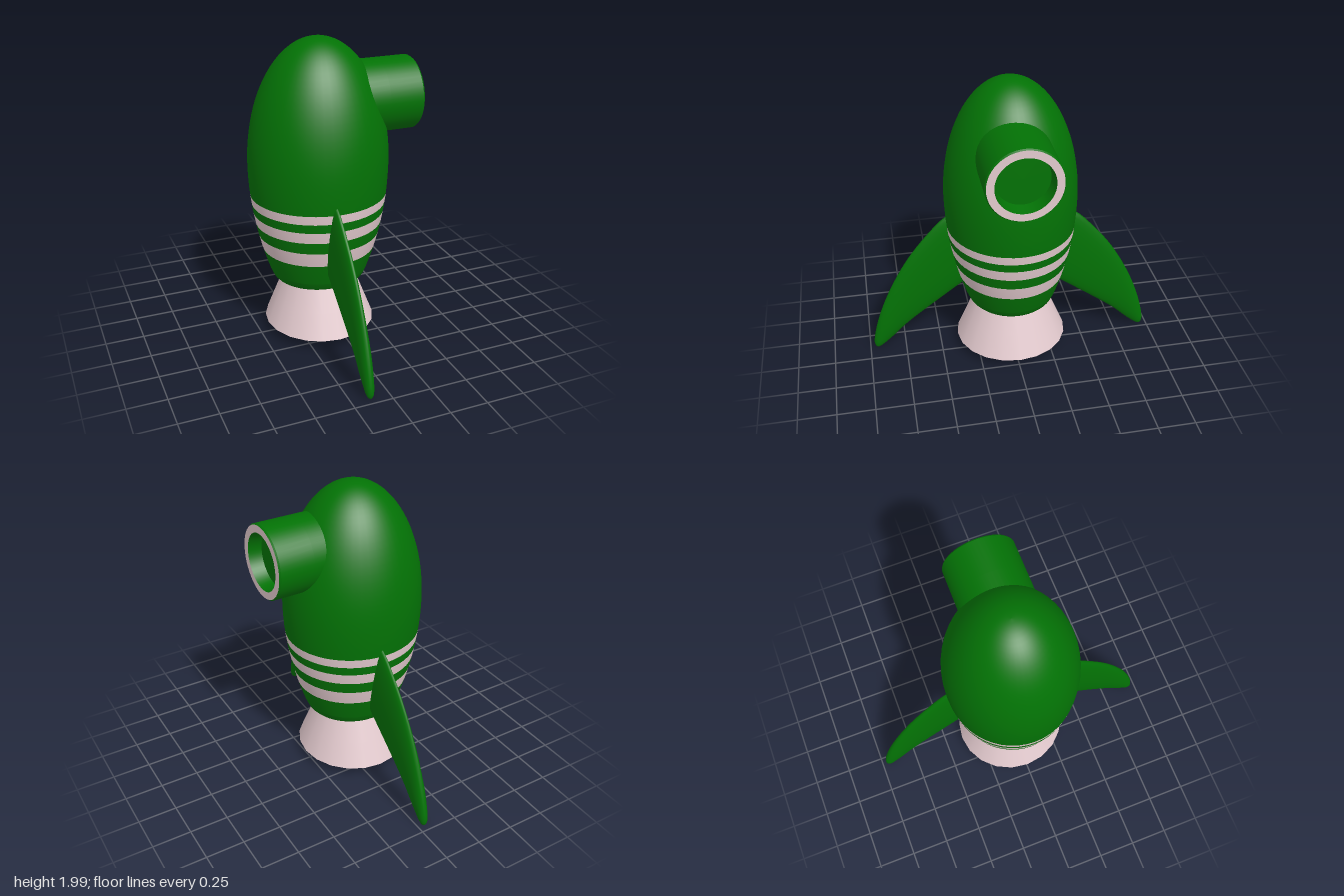
import * as THREE from 'three';

const AXIS_X = -0.083;
const green = new THREE.MeshStandardMaterial({ name: 'green', color: 0x037205 });
const pink = new THREE.MeshStandardMaterial({ name: 'palePink', color: 0xe4cbcf });

function addMesh(parent, name, geometry, material) {
  const mesh = new THREE.Mesh(geometry, material);
  mesh.name = name;
  parent.add(mesh);
  return mesh;
}

const lathe = (points, segments = 48) =>
  new THREE.LatheGeometry(points.map(([r, y]) => new THREE.Vector2(r, y)), segments);

// Hull radius by height: half ellipsoid above, gentle taper below
function hullRadius(y) {
  const d = y - 1.2;
  return d > 0 ? 0.455 * Math.sqrt(1 - (d / 0.8) ** 2) : 0.455 - 0.236 * d * d;
}

function hullBand(y0, y1, steps) {
  const points = [];
  for (let i = 0; i <= steps; i++) {
    const y = y0 + (y1 - y0) * i / steps;
    points.push([hullRadius(y), y]);
  }
  return points;
}

// Dome sampled by angle so that the nose stays round
function nosePoints() {
  const points = hullBand(0.985, 1.2, 5);
  for (let i = 1; i <= 24; i++) {
    const a = i / 24 * Math.PI / 2;
    points.push([i === 24 ? 0 : 0.455 * Math.cos(a), 1.2 + 0.8 * Math.sin(a)]);
  }
  return points;
}

function createHull() {
  const hull = new THREE.Group();
  hull.name = 'hull';
  hull.position.x = AXIS_X;
  hull.scale.z = 0.955;
  addMesh(hull, 'nose', lathe(nosePoints()), green);
  // Alternating stripes
  const edges = [0.46, 0.61, 0.71, 0.79, 0.865, 0.925, 0.985];
  for (let i = 0; i < edges.length - 1; i++) {
    const striped = i % 2 === 1;
    addMesh(hull, striped ? 'stripe' : 'hullBand',
      lathe(hullBand(edges[i], edges[i + 1], 4)), striped ? pink : green);
  }
  // Rounded lower edge and floor
  addMesh(hull, 'hullEdge',
    lathe([[0.275, 0.4], [0.293, 0.404], [0.308, 0.42], [hullRadius(0.46), 0.46]]), green);
  addMesh(hull, 'hullFloor', lathe([[0, 0.4], [0.275, 0.4]]), green);
  return hull;
}

// Flared skirt with a shallow recess underneath
function createNozzle() {
  const nozzle = new THREE.Group();
  nozzle.name = 'nozzle';
  nozzle.position.x = AXIS_X;
  nozzle.scale.x = 0.955;
  addMesh(nozzle, 'nozzleSkirt', lathe([[0.382, 0.075], [0.314, 0.24], [0.247, 0.405]], 20), pink);
  addMesh(nozzle, 'nozzleInnerWall', lathe([[0.345, 0.155], [0.382, 0.075]], 20), green);
  addMesh(nozzle, 'nozzleUnderside',
    lathe([[0, 0.09], [0.12, 0.095], [0.24, 0.117], [0.345, 0.155]], 20), green);
  return nozzle;
}

// Porthole tube pointing along +x
function createPorthole() {
  const porthole = new THREE.Group();
  porthole.name = 'porthole';
  porthole.position.set(0, 1.595, 0.025);
  porthole.rotation.z = -Math.PI / 2;
  addMesh(porthole, 'portholeTube', lathe([[0.237, 0.05], [0.237, 0.3], [0.237, 0.525]]), green);
  addMesh(porthole, 'portholeLip', lathe([[0.237, 0.525], [0.23, 0.535]]), green);
  addMesh(porthole, 'portholeRing', lathe([[0.23, 0.535], [0.182, 0.535]]), pink);
  addMesh(porthole, 'portholeWall', lathe([[0.182, 0.535], [0.168, 0.45]]), green);
  addMesh(porthole, 'portholePane', lathe([[0.168, 0.45], [0, 0.45]]), green);
  return porthole;
}

// Fin lofted from the hull to the tip: flat oval sections between two edge curves
function finGeometry() {
  const curve = (pts) => new THREE.CatmullRomCurve3(pts.map(([z, y]) => new THREE.Vector3(0, y, z)));
  const upper = curve([[0.3, 1.09], [0.43, 1.03], [0.56, 0.9], [0.7, 0.72], [0.83, 0.49],
    [0.92, 0.27], [0.965, 0.1], [0.97, 0.04], [0.96, 0.01]]);
  const lower = curve([[0.2, 0.58], [0.33, 0.49], [0.46, 0.395], [0.6, 0.29], [0.74, 0.18],
    [0.85, 0.075], [0.91, 0.025], [0.935, 0.01], [0.95, 0.008]]);
  const rows = 32, sides = 24, positions = [], index = [];
  for (let i = 0; i <= rows; i++) {
    const t = i / rows;
    const a = upper.getPoint(t), b = lower.getPoint(t);
    const half = 0.037 * Math.min(1, Math.pow((1.002 - t) / 0.4, 0.6));
    for (let j = 0; j < sides; j++) {
      const angle = j / sides * Math.PI * 2;
      const p = a.clone().lerp(b, 0.5 - 0.5 * Math.cos(angle));
      positions.push(half * Math.sin(angle), p.y, p.z);
      if (i < rows) {
        const k = i * sides + j, n = i * sides + (j + 1) % sides;
        index.push(k, k + sides, n, n, k + sides, n + sides);
      }
    }
  }
  // Close the tip
  const last = rows * sides;
  for (let j = 1; j < sides - 1; j++) index.push(last, last + j + 1, last + j);
  const geometry = new THREE.BufferGeometry();
  geometry.setAttribute('position', new THREE.Float32BufferAttribute(positions, 3));
  geometry.setIndex(index);
  geometry.computeVertexNormals();
  return geometry;
}

export function createModel() {
  const model = new THREE.Group();
  model.name = 'rocket';
  model.add(createHull(), createNozzle(), createPorthole());
  const fin = finGeometry();
  addMesh(model, 'frontFin', fin, green).position.x = -0.128;
  const backFin = addMesh(model, 'backFin', fin, green);
  backFin.position.x = -0.044;
  backFin.rotation.y = Math.PI;
  return model;
}
